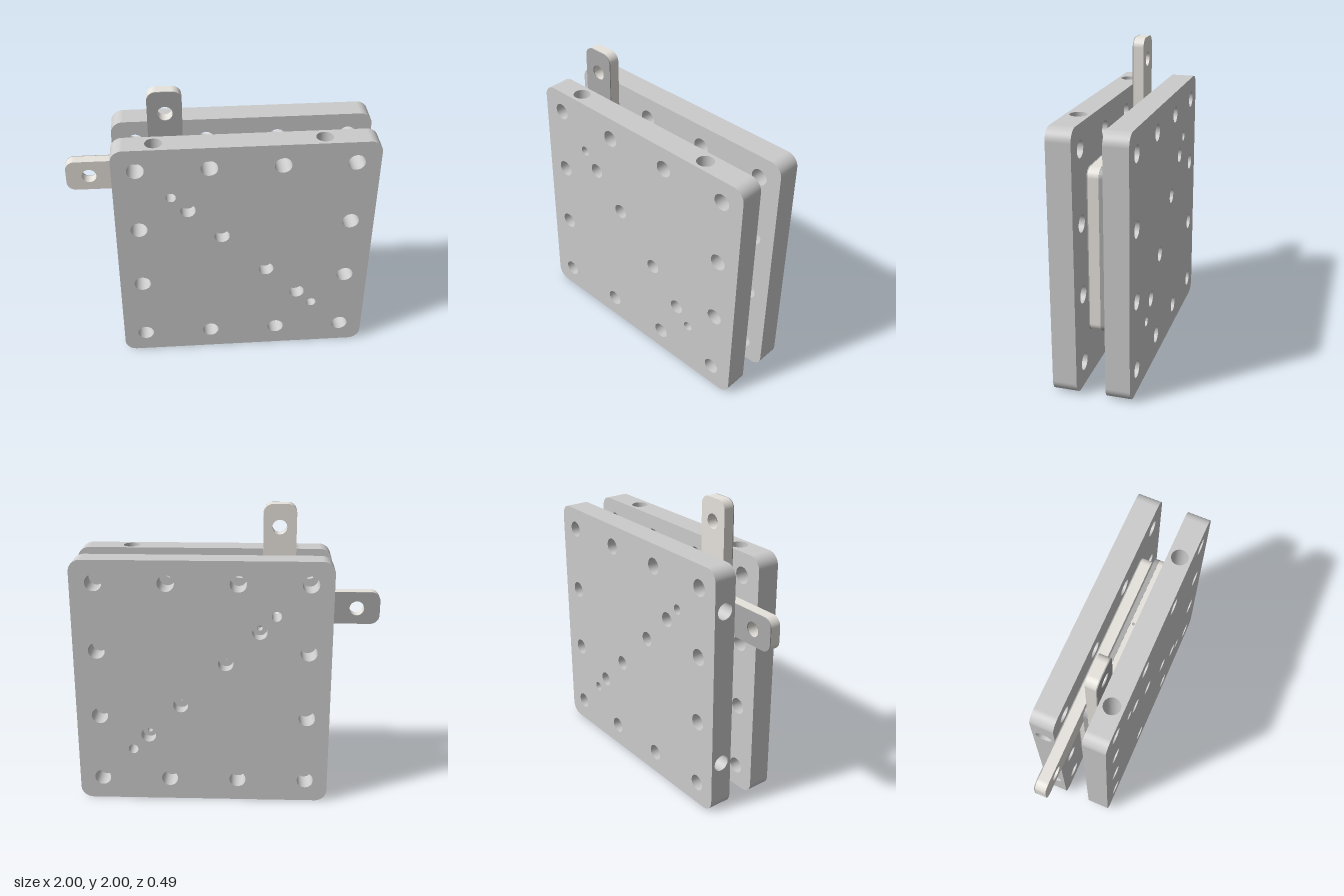
import * as THREE from 'three';

const mat = (color) => new THREE.MeshStandardMaterial({ color, side: THREE.DoubleSide });
const GREY = mat(0xcccccc), PALE = mat(0xe6e2dc), DARK = mat(0xaaaaaa);

// Plate limits (x0..x1, y0..y1, z0..z1) and corner radius
const P = { x0: -0.69, x1: 1, y0: 0, y1: 1.69, z0: 0.092, z1: 0.247, r: 0.08 };
const SEG = 32;

// Bolt holes around the rim: [x, y, radius]
const bolts = [];
const bx = [-0.54, -0.08, 0.383, 0.845], by = [0.155, 0.617, 1.08, 1.54];
bx.forEach((x, i) => by.forEach((y, j) => {
  if (i === 0 || i === 3 || j === 0 || j === 3) bolts.push([x, y, 0.055]);
}));
const pins = [[-0.327, 1.327, 0.033], [0.627, 0.373, 0.033]];
// Counterbored ports on the diagonal: [x, y, small radius]
const ports = [[-0.22, 1.22, 0.018], [0, 1, 0.004], [0.3, 0.7, 0.004], [0.52, 0.48, 0.018]];
const PORT_R = 0.05, PORT_FLOOR = P.z1 - 0.09;
const bores = [-0.42, 0.645], BORE_R = 0.055, BORE_DEPTH = 0.5;

function add(group, name, geometry, material, x = 0, y = 0, z = 0) {
  const m = new THREE.Mesh(geometry, material);
  m.name = name;
  m.position.set(x, y, z);
  group.add(m);
  return m;
}

function addHoles(shape, list) {
  for (const [x, y, r] of list) {
    shape.holes.push(new THREE.Path().absarc(x, y, r, 0, Math.PI * 2, true));
  }
  return shape;
}

function roundedRect(x0, x1, y0, y1, r) {
  const s = new THREE.Shape();
  s.absarc(x1 - r, y0 + r, r, -Math.PI / 2, 0);
  s.absarc(x1 - r, y1 - r, r, 0, Math.PI / 2);
  s.absarc(x0 + r, y1 - r, r, Math.PI / 2, Math.PI);
  s.absarc(x0 + r, y0 + r, r, Math.PI, Math.PI * 1.5);
  s.closePath();
  return s;
}

// Open tube along z, used for hole walls and rounded corners
function zTube(r, z0, z1, start = 0, sweep = Math.PI * 2) {
  return new THREE.CylinderGeometry(r, r, z1 - z0, SEG, 1, true, start, sweep)
    .rotateX(Math.PI / 2).translate(0, 0, (z0 + z1) / 2);
}

function slab(shape, z0, z1) {
  return new THREE.ExtrudeGeometry(shape, { depth: z1 - z0, bevelEnabled: false, curveSegments: 16 })
    .translate(0, 0, z0);
}

function endPlate() {
  const g = new THREE.Group();
  g.name = 'endPlate';
  const { x0, x1, y0, y1, z0, z1, r } = P;
  const outline = () => roundedRect(x0, x1, y0, y1, r);

  // Broad faces
  const outer = addHoles(outline(), [...bolts, ...pins, ...ports.map(([x, y]) => [x, y, PORT_R])]);
  const inner = addHoles(outline(), [...bolts, ...pins, ...ports]);
  add(g, 'outerFace', new THREE.ShapeGeometry(outer, 16), GREY, 0, 0, z1);
  add(g, 'innerFace', new THREE.ShapeGeometry(inner, 16).rotateY(Math.PI).scale(-1, 1, 1), GREY, 0, 0, z0);

  // Rim: four straight walls and four rounded corners
  const cx = (x0 + x1) / 2, cy = (y0 + y1) / 2, cz = (z0 + z1) / 2;
  const w = x1 - x0 - 2 * r, d = z1 - z0;
  const top = new THREE.Shape([[x0 + r, -d / 2], [x1 - r, -d / 2], [x1 - r, d / 2], [x0 + r, d / 2]]
    .map((p) => new THREE.Vector2(...p)));
  addHoles(top, bores.map((x) => [x, 0, BORE_R]));
  add(g, 'topWall', new THREE.ShapeGeometry(top, 16).rotateX(-Math.PI / 2), GREY, 0, y1, cz);
  add(g, 'bottomWall', new THREE.PlaneGeometry(w, d).rotateX(Math.PI / 2), GREY, cx, y0, cz);
  for (const [x, s] of [[x0, -1], [x1, 1]]) {
    add(g, 'sideWall', new THREE.PlaneGeometry(d, w).rotateY(s * Math.PI / 2), GREY, x, cy, cz);
  }
  [[x1 - r, y0 + r], [x1 - r, y1 - r], [x0 + r, y1 - r], [x0 + r, y0 + r]].forEach(([x, y], i) =>
    add(g, 'roundedCorner', zTube(r, z0, z1, i * Math.PI / 2, Math.PI / 2), GREY, x, y));

  // Hole walls
  for (const [x, y, rad] of [...bolts, ...pins]) add(g, 'holeWall', zTube(rad, z0, z1), GREY, x, y);
  for (const [x, y, rad] of ports) {
    add(g, 'portWall', zTube(PORT_R, PORT_FLOOR, z1), GREY, x, y);
    add(g, 'portFloor', new THREE.RingGeometry(rad, PORT_R, SEG), GREY, x, y, PORT_FLOOR);
    add(g, 'portChannel', zTube(rad, z0, PORT_FLOOR), GREY, x, y);
  }

  // Blind bores in the top edge
  for (const x of bores) {
    add(g, 'edgeBore', new THREE.CylinderGeometry(BORE_R, BORE_R, BORE_DEPTH, SEG, 1, true),
      GREY, x, y1 - BORE_DEPTH / 2, cz);
    add(g, 'edgeBoreEnd', new THREE.CircleGeometry(BORE_R, SEG).rotateX(-Math.PI / 2),
      GREY, x, y1 - BORE_DEPTH, cz);
  }
  return g;
}

// Inner plate with a contact tab rising from its upper corner
function contactPlate() {
  const g = new THREE.Group();
  g.name = 'contactPlate';
  const x0 = -0.45, x1 = 0.75, y0 = 0.31, y1 = 1.39, tx = -0.235, ty = 2, r = 0.06;
  const s = new THREE.Shape();
  s.absarc(x1 - r, y0 + r, r, -Math.PI / 2, 0);
  s.absarc(x1 - r, y1 - r, r, 0, Math.PI / 2);
  s.lineTo(tx, y1);
  s.absarc(tx - r, ty - r, r, 0, Math.PI / 2);
  s.absarc(x0 + r, ty - r, r, Math.PI / 2, Math.PI);
  s.absarc(x0 + r, y0 + r, r, Math.PI, Math.PI * 1.5);
  s.closePath();
  addHoles(s, [...pins, [-0.34, 1.85, 0.048]]);
  add(g, 'contactBody', slab(s, 0.016, 0.085), PALE);
  add(g, 'contactFacing', slab(s, 0.085, 0.0915), DARK);
  add(g, 'probeHole', new THREE.CircleGeometry(0.01, 16).rotateX(-Math.PI / 2), DARK, 0.235, y1 + 0.001, 0.035);
  return g;
}

export function createModel() {
  const model = new THREE.Group();
  model.name = 'plateStack';

  // The rear half is the front half turned 180 degrees about the diagonal
  for (const side of ['front', 'rear']) {
    const half = new THREE.Group();
    half.name = side + 'Half';
    half.add(endPlate(), contactPlate());
    if (side === 'rear') {
      half.quaternion.setFromAxisAngle(new THREE.Vector3(-1, 1, 0).normalize(), Math.PI);
      half.position.set(1, 1, 0);
    }
    model.add(half);
  }

  // Thin separator between the two contact plates
  const sheet = addHoles(roundedRect(-0.45, 0.75, 0.31, 1.39, 0.06), pins);
  add(model, 'separator', slab(sheet, -0.0155, 0.0155), DARK);
  return model;
}
